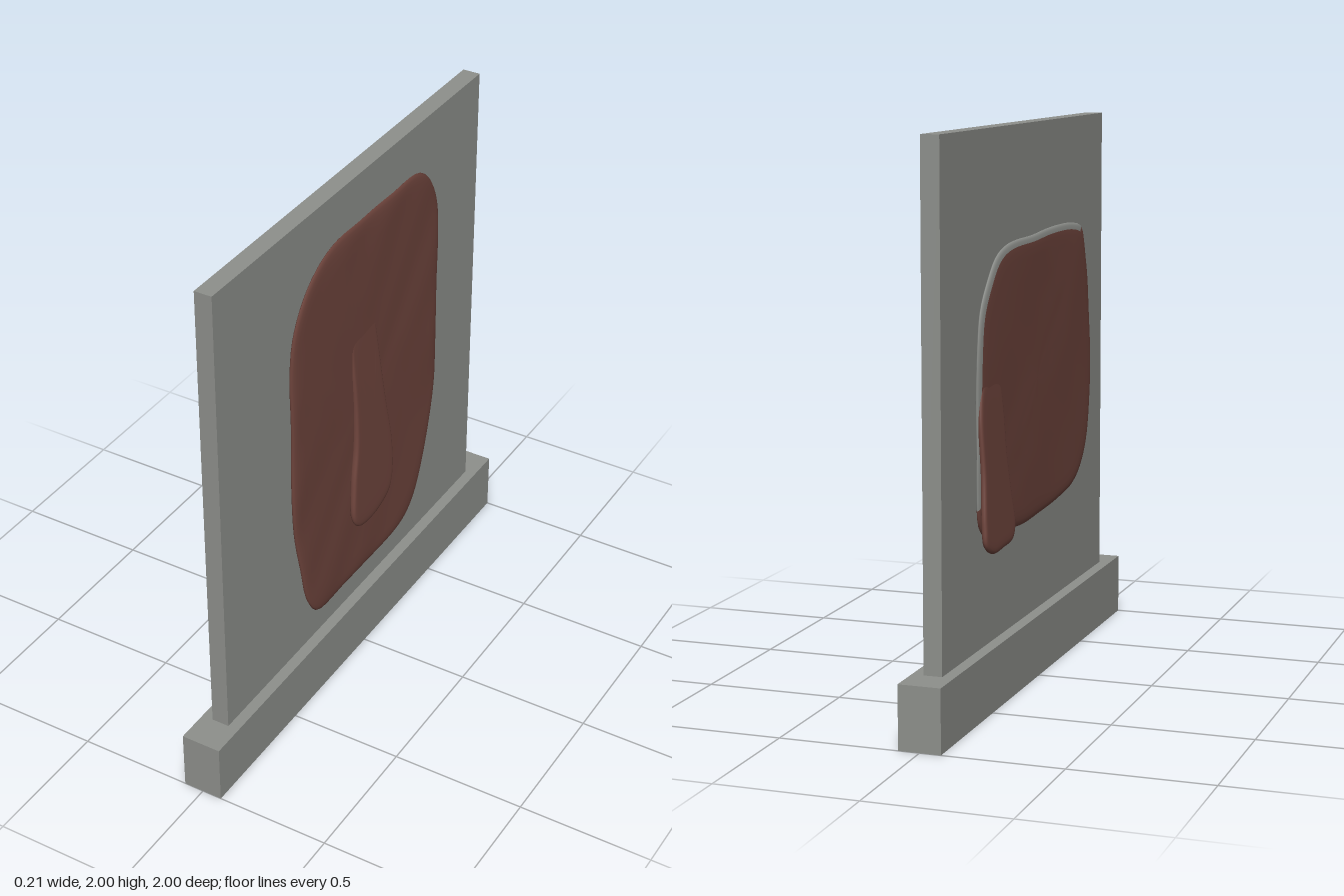
import * as THREE from 'three';

const stone = new THREE.MeshStandardMaterial({ color: 0x8e908c });
stone.name = 'grey stone';
const clay = new THREE.MeshStandardMaterial({ color: 0x6e443c });
clay.name = 'red brown clay';

// Cross-section of a soft slab from its wall side to its outer side: [scale, depth]
const PROFILE = [[0, 0], [0.5, 0], [0.93, 0.02], [0.975, 0.12], [0.993, 0.3], [1, 0.5], [0.994, 0.68],
  [0.98, 0.82], [0.955, 0.92], [0.92, 0.97], [0.86, 1], [0.7, 1], [0.5, 1], [0.25, 1], [0, 1]];
const SEGMENTS = 120;

// Soft slab from a (z, y) outline; inner and outer give its distance from the board at (z, y).
// side = 1 or -1 picks the board face; isGrey marks the outline stretch with a bare rim.
function softSlab(name, side, outline, centre, inner, outer, isGrey = () => false) {
  const curve = new THREE.CatmullRomCurve3(
    outline.map(([z, y]) => new THREE.Vector3(0, y, z)), true, 'centripetal');
  const rim = curve.getSpacedPoints(SEGMENTS).slice(0, SEGMENTS);
  const positions = [], clayFaces = [], greyFaces = [];
  for (const [scale, depth] of PROFILE) {
    for (const p of rim) {
      const z = centre[0] + (p.z - centre[0]) * scale;
      const y = centre[1] + (p.y - centre[1]) * scale;
      const a = inner(z, y), b = outer(z, y);
      positions.push(side * (a + (b - a) * depth), y, z);
    }
  }
  for (let k = 0; k < PROFILE.length - 1; k++) {
    for (let i = 0; i < SEGMENTS; i++) {
      const j = (i + 1) % SEGMENTS;
      const a = k * SEGMENTS + i, c = k * SEGMENTS + j;
      const b = a + SEGMENTS, d = c + SEGMENTS;
      const faces = k >= 2 && k < 8 && isGrey(rim[i].z, rim[i].y) ? greyFaces : clayFaces;
      if (side > 0) faces.push(a, b, c, c, b, d);
      else faces.push(a, c, b, c, d, b);
    }
  }
  const geometry = new THREE.BufferGeometry();
  geometry.setAttribute('position', new THREE.Float32BufferAttribute(positions, 3));
  geometry.setIndex([...clayFaces, ...greyFaces]);
  geometry.addGroup(0, clayFaces.length, 0);
  geometry.addGroup(clayFaces.length, greyFaces.length, 1);
  geometry.computeVertexNormals();
  const mesh = new THREE.Mesh(geometry, [clay, stone]);
  mesh.name = name;
  return mesh;
}

function box(name, w, h, d, y) {
  const mesh = new THREE.Mesh(new THREE.BoxGeometry(w, h, d), stone);
  mesh.position.y = y + h / 2;
  mesh.name = name;
  return mesh;
}

// Gentle hand-worked unevenness
const wobble = (z, y) => 0.002 * Math.sin(9 * z + 2) * Math.sin(8 * y + 1) + 0.001 * Math.sin(23 * z + 17 * y);

export function createModel() {
  const group = new THREE.Group();

  // Stand and upright board
  group.add(box('base', 0.15, 0.225, 2, 0));
  group.add(box('board', 0.066, 1.775, 1.75, 0.225));

  // Tall slab on the left face
  group.add(softSlab('tallSlab', 1, [
    [0.16, 1.85], [0, 1.85], [-0.2, 1.85], [-0.38, 1.84], [-0.46, 1.78], [-0.515, 1.68], [-0.53, 1.5],
    [-0.525, 1.2], [-0.53, 0.92], [-0.5, 0.75], [-0.44, 0.56], [-0.38, 0.44], [-0.31, 0.38],
    [-0.14, 0.355], [0.1, 0.36], [0.32, 0.37], [0.385, 0.45], [0.43, 0.62], [0.475, 0.88],
    [0.475, 1.2], [0.475, 1.5], [0.45, 1.63], [0.37, 1.75], [0.27, 1.82],
  ], [-0.03, 1.1],
  (z, y) => 0.05 + wobble(z, y),
  (z, y) => 0.074 + wobble(z, y)));

  // Raised tongue that grows out of the tall slab
  group.add(softSlab('tongue', 1, [
    [0.06, 1.47], [0, 1.52], [-0.06, 1.53], [-0.075, 1.4], [-0.1, 1.2], [-0.13, 1.02], [-0.16, 0.86],
    [-0.162, 0.7], [-0.135, 0.635], [-0.08, 0.605], [0, 0.59], [0.08, 0.605], [0.115, 0.65],
    [0.11, 0.8], [0.085, 0.95], [0.08, 1.1], [0.09, 1.3], [0.09, 1.4],
  ], [-0.03, 1.0],
  (z, y) => 0.08 - (y - 0.6) * 0.035,
  (z, y) => 0.106 - (y - 0.6) * 0.036 - Math.max(0, y - 1.2) * 0.02));

  // Wide slab on the right face, with a bare grey rim along its top and back
  group.add(softSlab('wideSlab', -1, [
    [0.58, 1.48], [0.53, 1.59], [0.46, 1.61], [0.27, 1.62], [-0.03, 1.61], [-0.345, 1.59],
    [-0.47, 1.52], [-0.56, 1.41], [-0.595, 1.29], [-0.605, 1.05], [-0.605, 0.8], [-0.58, 0.66],
    [-0.48, 0.61], [-0.26, 0.6], [-0.14, 0.59], [0.15, 0.6], [0.42, 0.63], [0.54, 0.69],
    [0.62, 0.85], [0.648, 1.1], [0.62, 1.36],
  ], [0, 1.1],
  (z, y) => 0.047 + wobble(z, y),
  (z, y) => 0.069 + wobble(z, y),
  (z, y) => (y > 1.45 && z < 0.53) || (z < -0.5 && y > 0.75)));

  // Flap that peels away from the wide slab
  group.add(softSlab('flap', -1, [
    [-0.4, 1.14], [-0.48, 1.19], [-0.56, 1.16], [-0.6, 1.05], [-0.605, 0.85], [-0.625, 0.68],
    [-0.62, 0.61], [-0.56, 0.575], [-0.45, 0.575], [-0.36, 0.585], [-0.33, 0.62], [-0.35, 0.74],
    [-0.375, 0.9], [-0.38, 1.05],
  ], [-0.49, 0.86],
  (z, y) => 0.083 - (y - 0.58) * 0.055,
  (z, y) => 0.106 - (y - 0.58) * 0.064));

  return group;
}
